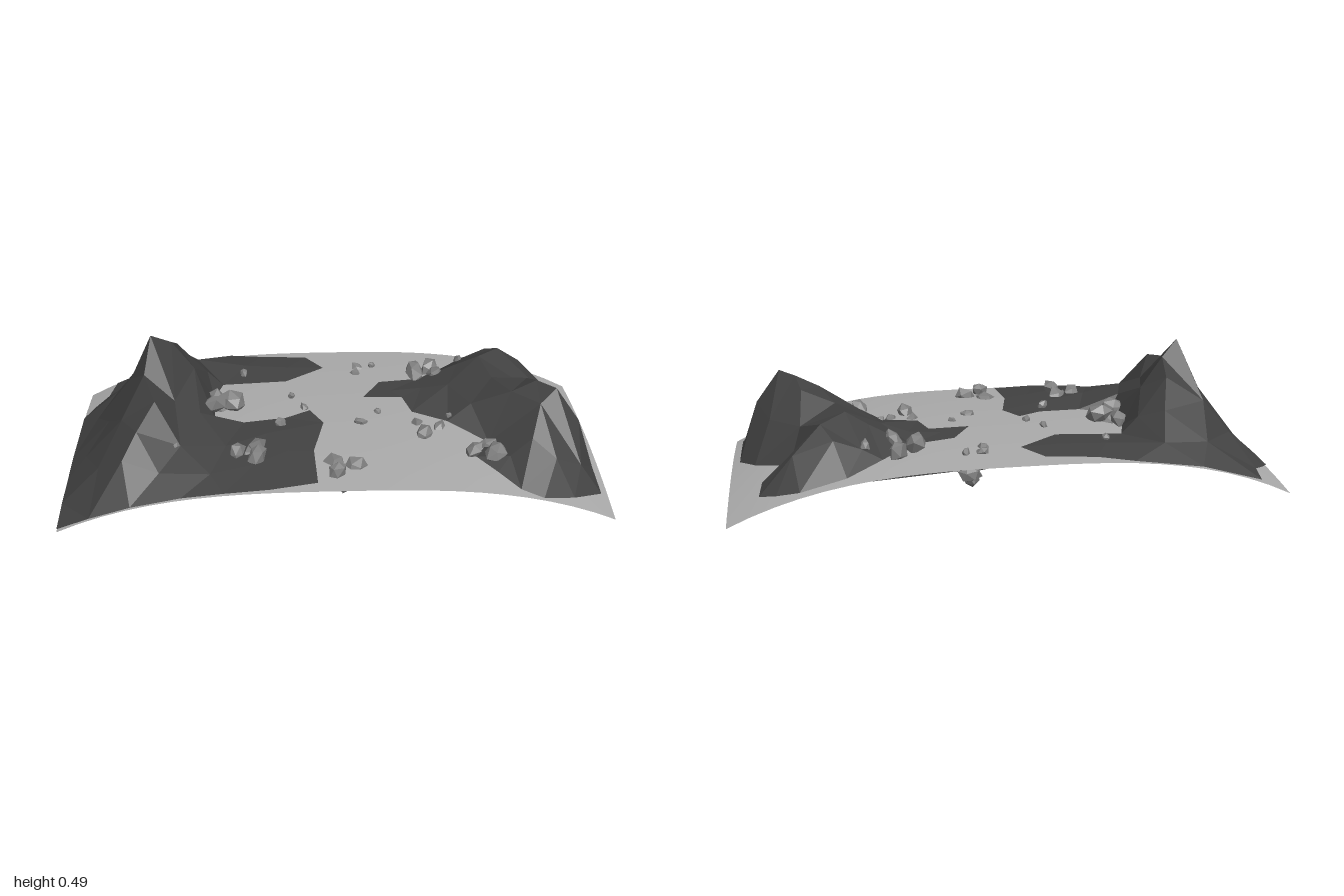
import * as THREE from 'three';

const paint = (color, flat = true) => {
  const m = new THREE.MeshStandardMaterial({ color });
  m.flatShading = flat;
  m.side = THREE.DoubleSide;
  return m;
};

// Height of the arched ground sheet
const groundY = (x, z) =>
  0.178 - 0.175 * Math.abs(x) ** 3 + (0.018 + 0.016 * x * x) * (1 - 4 * z * z);

function makeGround(material) {
  const geo = new THREE.PlaneGeometry(2, 1, 24, 12).rotateX(-Math.PI / 2);
  const p = geo.attributes.position;
  for (let i = 0; i < p.count; i++) {
    const x = p.getX(i);
    const z = p.getZ(i) * (1 - 0.055 * Math.abs(x) ** 3);
    p.setXYZ(i, x, groundY(x, z), z);
  }
  geo.computeVertexNormals();
  return new THREE.Mesh(geo, material);
}

function inside(x, z, poly) {
  let hit = false;
  poly.forEach(([x1, z1], i) => {
    const [x2, z2] = poly[(i + 1) % poly.length];
    if (z1 > z !== z2 > z && x < x1 + ((z - z1) / (z2 - z1)) * (x2 - x1)) hit = !hit;
  });
  return hit;
}

// Faceted terrain: joins the foot outline [x, z] and the inner points [x, z, y]
// by empty-circle triangulation, keeping triangles inside the outline
function makeTerrain(foot, lift, inner, material) {
  const pts = [...foot.map(([x, z]) => [x, z, groundY(x, z) + lift]), ...inner];
  const n = pts.length, pos = [];
  for (let a = 0; a < n; a++) for (let b = a + 1; b < n; b++) for (let c = b + 1; c < n; c++) {
    const [ax, az] = pts[a];
    const bx = pts[b][0] - ax, bz = pts[b][1] - az;
    const cx = pts[c][0] - ax, cz = pts[c][1] - az;
    const d = 2 * (bx * cz - bz * cx);
    if (Math.abs(d) < 1e-5) continue;
    const b2 = bx * bx + bz * bz, c2 = cx * cx + cz * cz;
    const ux = (cz * b2 - bz * c2) / d, uz = (bx * c2 - cx * b2) / d;
    const r2 = ux * ux + uz * uz - 1e-9;
    if (pts.some(([x, z]) => (x - ax - ux) ** 2 + (z - az - uz) ** 2 < r2)) continue;
    if (!inside(ax + (bx + cx) / 3, az + (bz + cz) / 3, foot)) continue;
    for (const i of d > 0 ? [a, c, b] : [a, b, c]) pos.push(pts[i][0], pts[i][2], pts[i][1]);
  }
  const geo = new THREE.BufferGeometry();
  geo.setAttribute('position', new THREE.Float32BufferAttribute(pos, 3));
  geo.computeVertexNormals();
  return new THREE.Mesh(geo, material);
}

// Chunky stone: an icosahedron pushed in and out by a rule on direction
function makeRock(size, seed, material) {
  const geo = new THREE.IcosahedronGeometry(size, 0);
  const p = geo.attributes.position, v = new THREE.Vector3();
  for (let i = 0; i < p.count; i++) {
    v.fromBufferAttribute(p, i);
    const k = 1 + 0.16 * Math.sin((v.x * 2 + v.y * 3 + v.z * 2.5) / size + seed * 2.3);
    p.setXYZ(i, v.x * k, v.y * k * 1.25, v.z * k * 0.85);
  }
  geo.computeVertexNormals();
  const rock = new THREE.Mesh(geo, material);
  rock.rotation.set(seed * 1.7, seed * 2.9, seed * 0.8);
  rock.name = 'rock';
  return rock;
}

export function createModel() {
  const model = new THREE.Group();
  const hillPaint = paint(0x424242), rockPaint = paint(0x808080);
  const add = (name, part) => { part.name = name; model.add(part); return part; };

  add('ground', makeGround(paint(0xaaaaaa, false)));

  // Tall pointed hill with a ridge running forward and low spurs towards the middle
  add('tallHill', makeTerrain(
    [[-1, 0.465], [-0.88, 0.48], [-0.73, 0.488], [-0.55, 0.492], [-0.4, 0.495], [-0.24, 0.49],
      [-0.07, 0.46], [-0.08, 0.27], [-0.04, 0.09], [-0.09, 0], [-0.18, 0.05], [-0.34, 0.07],
      [-0.45, 0.03], [-0.46, -0.13], [-0.43, -0.23], [-0.18, -0.23], [-0.03, -0.34], [-0.1, -0.44],
      [-0.28, -0.46], [-0.41, -0.495], [-0.66, -0.49], [-0.89, -0.47], [-0.91, -0.36], [-0.96, -0.3],
      [-1, -0.24], [-0.998, -0.1], [-0.999, 0.06], [-0.998, 0.2], [-1, 0.33]], 0.007,
    [[-0.68, -0.07, 0.5], [-0.61, -0.12, 0.445], [-0.6, -0.21, 0.39], [-0.57, -0.3, 0.29],
      [-0.53, -0.12, 0.33], [-0.7, 0.05, 0.4], [-0.77, -0.08, 0.31], [-0.65, 0.2, 0.375],
      [-0.71, 0.3, 0.31], [-0.76, 0.37, 0.235], [-0.78, 0.17, 0.28],
      [-0.59, 0.09, 0.31], [-0.56, 0.28, 0.235], [-0.5, 0.08, 0.25], [-0.4, 0.25, 0.212],
      [-0.3, 0.36, 0.2], [-0.25, 0.17, 0.212], [-0.17, 0.28, 0.206], [-0.85, 0.04, 0.195],
      [-0.86, 0.3, 0.16], [-0.63, 0.4, 0.2], [-0.93, 0.15, 0.11], [-0.92, -0.12, 0.11],
      [-0.74, -0.23, 0.3], [-0.85, -0.22, 0.17], [-0.71, -0.38, 0.19], [-0.54, -0.41, 0.205],
      [-0.34, -0.36, 0.2], [-0.17, -0.34, 0.2], [-0.45, 0.4, 0.192], [-0.49, -0.23, 0.25]], hillPaint));

  // Broad ridged hill
  add('broadHill', makeTerrain(
    [[0.12, -0.09], [0.19, -0.21], [0.35, -0.24], [0.46, -0.35], [0.59, -0.45], [0.75, -0.46],
      [0.83, -0.42], [0.89, -0.37], [0.88, -0.26], [0.78, -0.2], [0.91, -0.06], [0.97, 0.06],
      [0.97, 0.2], [0.97, 0.36], [0.85, 0.44], [0.73, 0.485], [0.65, 0.46], [0.58, 0.38],
      [0.51, 0.3], [0.57, 0.2], [0.43, 0.08], [0.3, 0.02], [0.27, -0.09]], 0.007,
    [[0.81, 0.17, 0.382], [0.75, 0.1, 0.376], [0.75, 0.2, 0.335], [0.71, 0.3, 0.25],
      [0.66, 0.1, 0.33], [0.73, 0.02, 0.34], [0.61, -0.05, 0.305], [0.5, -0.22, 0.27],
      [0.58, -0.2, 0.315], [0.67, -0.29, 0.3], [0.63, -0.36, 0.26], [0.45, -0.11, 0.24],
      [0.52, 0.05, 0.25], [0.77, -0.35, 0.21], [0.8, -0.28, 0.17], [0.9, 0.19, 0.255],
      [0.85, 0.01, 0.235], [0.89, 0.33, 0.15], [0.79, 0.36, 0.2], [0.63, 0.32, 0.19],
      [0.74, -0.11, 0.24], [0.35, -0.14, 0.21], [0.23, -0.14, 0.2], [0.53, -0.35, 0.22]], hillPaint));

  // Dark bedrock lying just under the middle of the ground
  add('bedrock', makeTerrain(
    [[0.87, 0.35], [0.6, 0.42], [0.27, 0.38], [-0.1, 0.33], [-0.3, 0.15], [-0.41, -0.22],
      [-0.35, -0.44], [0.1, -0.48], [0.6, -0.47], [0.83, -0.4], [0.9, 0.02]], -0.004,
    [[0, 0, 0.184], [0.3, -0.1, 0.179], [0.55, 0.05, 0.16], [0.3, 0.2, 0.174], [-0.15, -0.2, 0.182],
      [0.5, -0.3, 0.15], [0.15, -0.3, 0.176], [0.72, 0.1, 0.12], [0.7, -0.2, 0.12]], hillPaint));

  // Stone clusters lodged through the ground: x, y, z, stone size, depth of the lowest stone
  const clusters = [
    [-0.43, 0.215, -0.06, 0.045, 0.05], [-0.31, 0.205, 0.28, 0.044, 0.04], [0.02, 0.185, 0.36, 0.042, 0.06],
    [0.385, 0.205, -0.28, 0.044, 0.06], [0.35, 0.18, 0.115, 0.037, 0.07], [0.55, 0.18, 0.26, 0.04, 0.05],
    [0.15, 0.14, 0.03, 0.036, 0.04], [0.15, 0.14, -0.36, 0.036, 0.04], [-0.13, 0.14, -0.1, 0.036, 0.04]];
  clusters.forEach(([x, y, z, size, depth], c) => {
    const cluster = add('rockCluster', new THREE.Group());
    cluster.position.set(x, y, z);
    const core = makeRock(size, c * 5, rockPaint);
    core.position.y = -depth;
    cluster.add(core);
    for (let i = 0; i < 3; i++) {
      const rock = makeRock(size * (1 - 0.1 * ((i + c) % 3)), c * 5 + i + 1, rockPaint);
      const a = i * 2.1 + c;
      rock.position.set(0.047 * Math.cos(a), 0.012 * Math.sin(i * 2 + c), 0.047 * Math.sin(a));
      cluster.add(rock);
    }
  });

  // Loose pebbles: x, z, height above the ground
  const pebbles = [
    [-0.16, -0.115, 0.005], [-0.11, -0.03, 0], [0.11, -0.35, 0], [0.17, -0.36, 0.005], [0.1, -0.3, 0], [0.1, 0.08, 0],
    [0.17, 0.01, 0], [0.44, 0.05, 0.01], [-0.2, 0.1, 0.015], [-0.58, 0.28, 0.075], [-0.35, -0.3, 0.015], [0.52, -0.33, 0.06]];
  pebbles.forEach(([x, z, lift], i) => {
    const pebble = add('pebble', makeRock(0.016 + 0.003 * (i % 3), i + 60, rockPaint));
    pebble.position.set(x, groundY(x, z) + lift, z);
  });
  return model;
}
